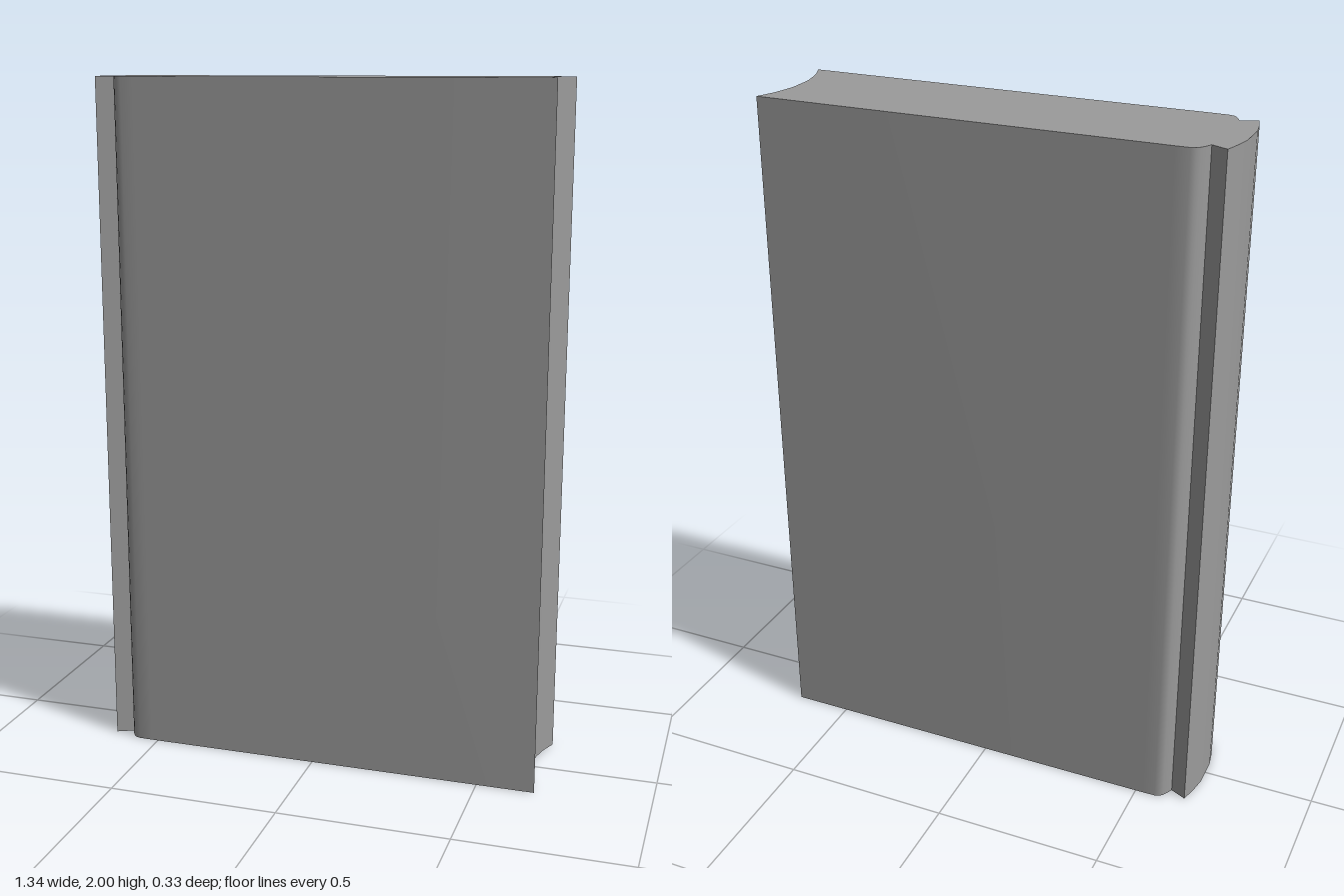
import * as THREE from 'three';
import { toCreasedNormals } from 'three/addons/utils/BufferGeometryUtils.js';

const HEIGHT = 2;

// Half of the closed book's cross-section, from spine to fore-edge: [x, depth]
const HALF_PROFILE = [
  [-0.669, 0.045], [-0.66, 0.095], [-0.647, 0.143],              // rounded spine
  [-0.6, 0.121],                                                 // hinge groove
  [-0.592, 0.138], [-0.583, 0.152], [-0.574, 0.161], [-0.56, 0.165], // cover shoulder
  [-0.52, 0.166], [0.669, 0.167],                                // flat cover
  [0.647, 0.115], [0.637, 0.075], [0.63, 0.04],                  // hollow fore-edge
];

export function createModel() {
  const group = new THREE.Group();
  group.name = 'book';

  // Mirror the half profile to close the outline
  const mirrored = HALF_PROFILE.map(([x, z]) => [x, -z]).reverse();
  const outline = [...HALF_PROFILE, ...mirrored].map(([x, z]) => new THREE.Vector2(x, z));

  // Extrude it upwards, smooth on the curves and sharp at the corners
  const geometry = new THREE.ExtrudeGeometry(new THREE.Shape(outline), {
    depth: HEIGHT,
    bevelEnabled: false,
  });
  geometry.rotateX(-Math.PI / 2);

  const body = new THREE.Mesh(
    toCreasedNormals(geometry, THREE.MathUtils.degToRad(35)),
    new THREE.MeshStandardMaterial({ color: 0x9b9b9b })
  );
  body.name = 'bookBody';
  group.add(body);
  return group;
}
